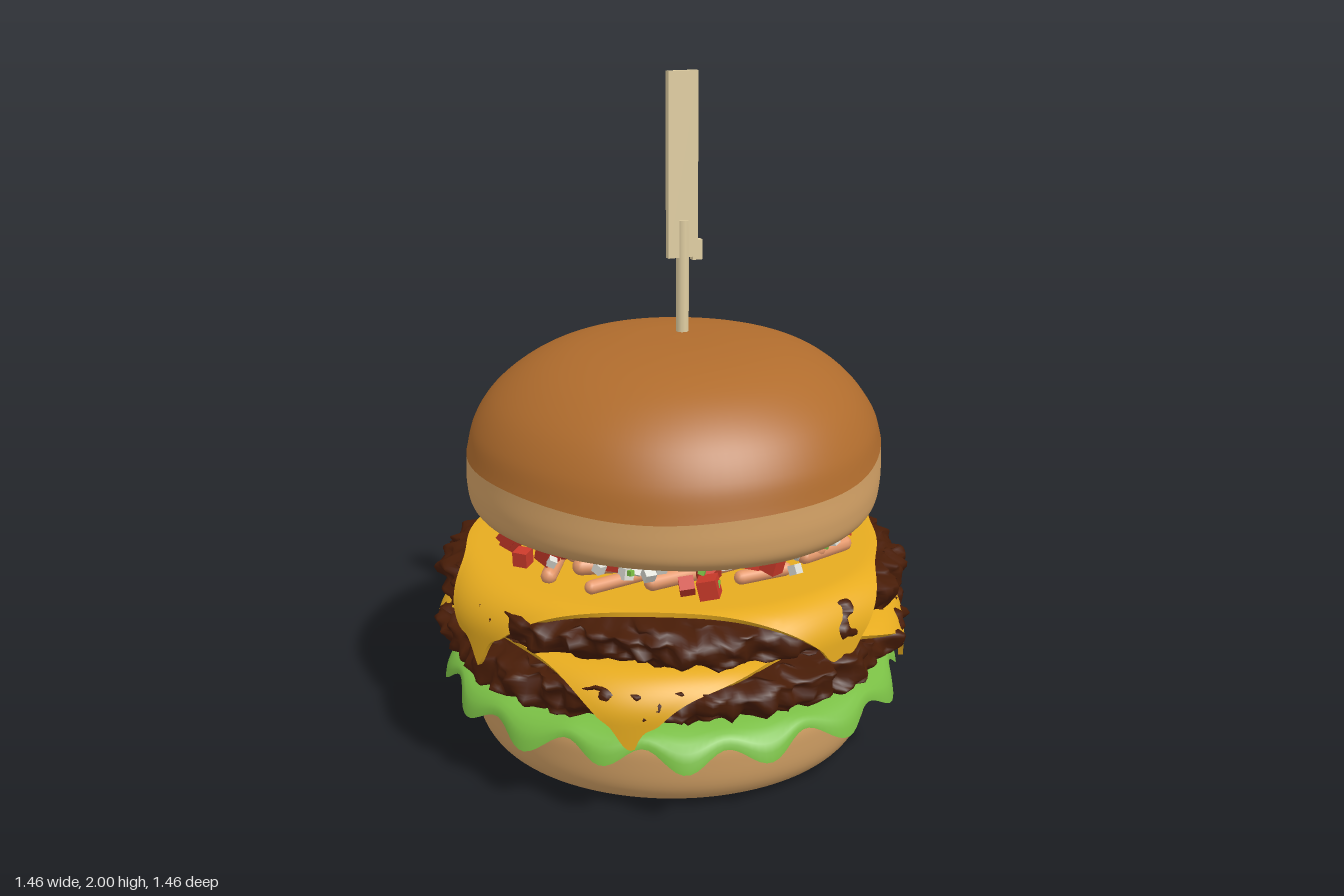
import * as THREE from 'three';
import { mergeVertices, toCreasedNormals } from 'three/addons/utils/BufferGeometryUtils.js';

const mat = (name, color, side = THREE.FrontSide) => {
  const m = new THREE.MeshStandardMaterial({ color, side });
  m.name = name;
  return m;
};

// Seeded random numbers and smooth value noise
let seed = 7;
const rnd = () => (seed = (seed * 16807) % 2147483647) / 2147483647;
const between = (a, b) => a + (b - a) * rnd();
const hash = (x, y, z) => {
  const s = Math.sin(x * 127.1 + y * 311.7 + z * 74.7) * 43758.5453;
  return s - Math.floor(s);
};
function noise(x, y, z) {
  const [i, j, k] = [x, y, z].map(Math.floor);
  const [u, v, w] = [x - i, y - j, z - k].map((t) => t * t * (3 - 2 * t));
  const L = THREE.MathUtils.lerp;
  const row = (b, c) => L(hash(i, b, c), hash(i + 1, b, c), u);
  return L(L(row(j, k), row(j + 1, k), v), L(row(j, k + 1), row(j + 1, k + 1), v), w) * 2 - 1;
}

// Move every vertex by a rule
function deform(geo, rule) {
  const p = geo.attributes.position;
  const v = new THREE.Vector3();
  for (let i = 0; i < p.count; i++) {
    rule(v.fromBufferAttribute(p, i));
    p.setXYZ(i, v.x, v.y, v.z);
  }
  return geo;
}
function smooth(geo) {
  geo.deleteAttribute('normal');
  geo.deleteAttribute('uv');
  const g = mergeVertices(geo, 1e-4);
  g.computeVertexNormals();
  return g;
}

// Lathe with a smooth curve through a few [radius, height] points
function lathe(points, segments = 96) {
  const curve = new THREE.CatmullRomCurve3(points.map(([r, y]) => new THREE.Vector3(r, y, 0)), false, 'centripetal');
  return new THREE.LatheGeometry(curve.getPoints(40).map((p) => new THREE.Vector2(Math.max(p.x, 0), p.y)), segments);
}

// Gentle lopsided shape of the top bun, with a wavy bake line
const bunWarp = (v) => {
  const a = Math.atan2(v.z, v.x);
  const k = 1 + 0.012 * Math.cos(4 * a + 0.5);
  const line = Math.exp(-(((v.y - 0.91) / 0.1) ** 2));
  const dome = THREE.MathUtils.smoothstep(v.y, 0.95, 1.2);
  v.y += -0.022 * v.z + dome * 0.02 * v.x + line * (0.01 * Math.sin(2 * a + 1) + 0.006 * Math.sin(5 * a) + 0.03 * v.x - 0.025 * v.z);
  v.x = v.x * k + 0.008;
  v.z *= k;
};

// Craggy patty: a flattened sphere with a rough rim
function pattyGeometry(y0, radius, shift) {
  const g = deform(new THREE.SphereGeometry(1, 220, 44), (v) => {
    const rho = Math.hypot(v.x, v.z);
    const a = Math.atan2(v.z, v.x);
    const r = radius * Math.pow(rho, 0.35);
    const y = 0.074 * Math.sign(v.y) * Math.pow(Math.abs(v.y), 0.6);
    const x = r * Math.cos(a), z = r * Math.sin(a);
    const n = 0.55 * noise(x * 11 + shift, y * 16, z * 11) + 0.6 * noise(x * 30, y * 32 + shift, z * 30);
    const rr = rho < 1e-3 ? 0 : r + 0.058 * n * Math.min(1, rho * 1.3);
    v.set(rr * Math.cos(a), y0 + y + 0.013 * noise(x * 22, y * 9 + shift, z * 22), rr * Math.sin(a));
  });
  return smooth(g);
}

// Square cheese slice whose corners bend over the patty rim and melt down it
function cheeseGeometry(top, angle) {
  const bend = 0.112, start = 0.602;
  const g = deform(new THREE.BoxGeometry(2, 2, 2, 72, 1, 72), (v) => {
    const half = 0.613 * (1 + 0.02 * Math.sin(v.x * 7 + angle * 3) * Math.cos(v.z * 8));
    const x = v.x * half, z = v.z * half;
    const a = Math.atan2(z, x) + angle;
    const off = v.y > 0 ? 0.007 : -0.007;
    let s = Math.hypot(x, z) - start;
    if (s > 0.17) s = 0.17 + (s - 0.17) * (0.85 + 0.3 * Math.sin(a * 38));
    let r = s + start, y = top, phi = 0;
    if (s > 0) {
      phi = Math.min(s / bend, Math.PI / 2);
      r = start + bend * Math.sin(phi);
      y = top - bend * (1 - Math.cos(phi)) - Math.max(0, s - bend * Math.PI / 2);
    }
    r += off * Math.sin(phi) + 0.008 * Math.sin(a * 9) * Math.sin(phi);
    v.set(r * Math.cos(a), y + off * Math.cos(phi), r * Math.sin(a));
  });
  return toCreasedNormals(smooth(g), 0.8);
}

// Ruffled lettuce leaf whose rim hangs over the bun
function lettuceGeometry() {
  const g = new THREE.RingGeometry(0.25, 0.78, 224, 16).rotateX(-Math.PI / 2);
  return smooth(deform(g, (v) => {
    const r = Math.hypot(v.x, v.z), a = Math.atan2(v.z, v.x);
    const t = Math.max(0, (r - 0.5) / 0.28);
    const ruffle = 0.8 * Math.sin(17 * a + 0.6 * Math.sin(3 * a)) + 0.2 * Math.sin(7 * a + 1);
    const R = Math.min(r, 0.5) + 0.19 * Math.sin(t * Math.PI / 2) + 0.018 * t * ruffle;
    v.set(R * Math.cos(a), 0.283 - Math.pow(t, 2.6) * (0.076 + 0.034 * ruffle), R * Math.sin(a));
  }));
}

export function createModel() {
  const model = new THREE.Group();
  model.name = 'cheeseburger';
  const crust = mat('toasted crust', 0xb06c2d);
  const crumb = mat('bun crumb', 0xd3a165);
  const toasted = mat('baked base', 0x955a28);
  const meat = mat('grilled meat', 0x471c07);
  const cheese = mat('cheese', 0xe6ab1f);
  const leaf = mat('lettuce green', 0x7abf45, THREE.DoubleSide);
  const sauce = mat('salmon sauce', 0xe5986a);
  const tomato = mat('tomato red', 0xcb3a2a);
  const onion = mat('onion white', 0xdcdcd4);
  const wood = mat('pick wood', 0xe0cea2);

  const add = (name, geo, material, parent = model) => {
    const m = new THREE.Mesh(geo, material);
    m.name = name;
    parent.add(m);
    return m;
  };

  // Bottom bun with its baked base
  add('bottomBunBase', lathe([[0, 0], [0.3, 0], [0.49, 0.001], [0.53, 0.012]]), toasted);
  add('bottomBun', lathe([[0.53, 0.012], [0.565, 0.025], [0.597, 0.07], [0.612, 0.15], [0.613, 0.2], [0.6, 0.24], [0.55, 0.265], [0.3, 0.268], [0, 0.268]]), crumb);

  add('lettuce', lettuceGeometry(), leaf);

  // Two patties, each under a cheese slice
  add('lowerPatty', pattyGeometry(0.365, 0.7, 3.3), meat);
  add('lowerCheese', cheeseGeometry(0.445, THREE.MathUtils.degToRad(78)), cheese);
  add('upperPatty', pattyGeometry(0.525, 0.692, 41.7), meat);
  add('upperCheese', cheeseGeometry(0.606, THREE.MathUtils.degToRad(29)), cheese);

  // Sauce strips lying on the top cheese
  const toppings = new THREE.Group();
  toppings.name = 'toppings';
  model.add(toppings);
  for (let i = 0; i < 38; i++) {
    const a = i * 2.4, r = 0.49 * Math.sqrt((i + 0.5) / 38);
    const strip = add('sauceStrip', new THREE.CapsuleGeometry(between(0.019, 0.026), between(0.12, 0.22), 4, 10), sauce, toppings);
    strip.position.set(r * Math.cos(a), between(0.628, 0.645), r * Math.sin(a));
    strip.rotation.set(Math.PI / 2, 0, a + between(-1, 1));
  }

  // Diced tomato, onion and herbs
  const dice = (name, count, min, max, material) => {
    for (let i = 0; i < count; i++) {
      const s = between(min, max), a = between(0, Math.PI * 2), r = 0.56 * Math.sqrt(between(0.05, 1));
      const cube = add(name, new THREE.BoxGeometry(s, s, s), material, toppings);
      cube.position.set(r * Math.cos(a), between(0.66, 0.7), r * Math.sin(a));
      cube.rotation.set(between(-0.5, 0.5), between(0, 3), between(-0.5, 0.5));
    }
  };
  dice('tomatoDice', 68, 0.04, 0.055, tomato);
  dice('onionDice', 75, 0.022, 0.036, onion);
  dice('herbBit', 55, 0.012, 0.022, leaf);

  // Top bun: pale lower band and toasted dome
  add('topBunCrumb', deform(lathe([[0, 0.722], [0.3, 0.722], [0.5, 0.72], [0.575, 0.728], [0.612, 0.76], [0.625, 0.82], [0.624, 0.91]]), bunWarp), crumb);
  add('topBunCrust', deform(lathe([[0.624, 0.91], [0.603, 0.99], [0.55, 1.075], [0.455, 1.153], [0.34, 1.203], [0.18, 1.23], [0, 1.236]]), bunWarp), crust);

  // Wooden pick with its flat paddle and side tab
  const pick = new THREE.Group();
  pick.name = 'pick';
  pick.position.set(0.05, 0, -0.035);
  model.add(pick);
  add('pickStick', new THREE.CylinderGeometry(0.019, 0.019, 0.42, 10), wood, pick).position.y = 1.36;
  add('pickPaddle', new THREE.BoxGeometry(0.095, 0.54, 0.02), wood, pick).position.set(-0.002, 1.73, 0);
  add('pickTab', new THREE.BoxGeometry(0.032, 0.06, 0.02), wood, pick).position.set(0.045, 1.48, 0);

  return model;
}
